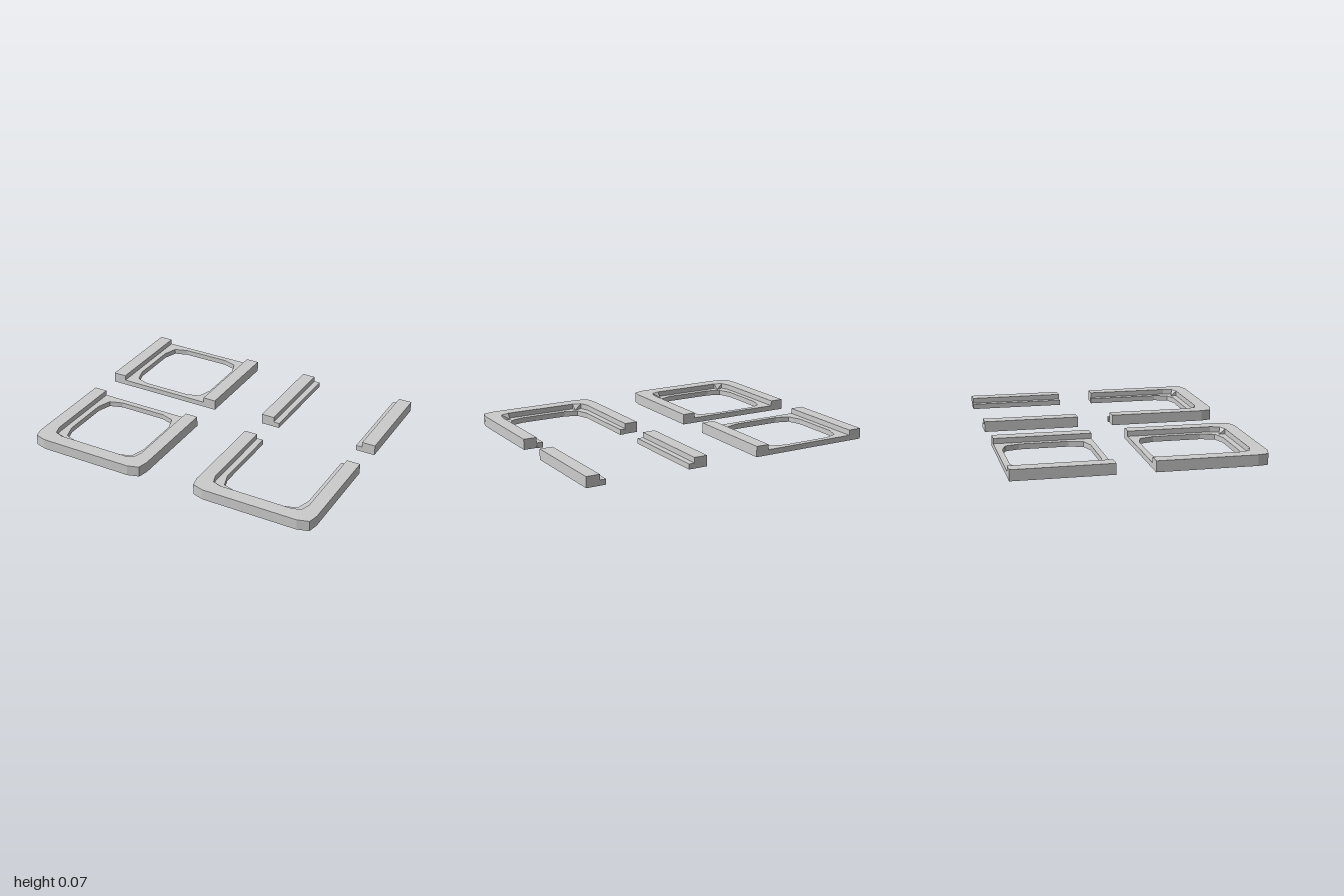
import * as THREE from 'three';
import { ConvexGeometry } from 'three/addons/geometries/ConvexGeometry.js';

const HEIGHT = 0.07, LIP = 0.035;      // full height and height of the inner ledge
const OUTER = 0.409, WALL = 0.32, HOLE = 0.28; // half widths: outside, raised wall, opening
const CENTRE = 0.591;
const material = new THREE.MeshStandardMaterial({ color: 0xcccccc, flatShading: true });

// Plan points [x, z] as 2D vectors, wound clockwise or counter-clockwise on request.
function outline(points, clockwise) {
  const list = points.map(([x, z]) => new THREE.Vector2(x, -z));
  return THREE.ShapeUtils.isClockWise(list) === clockwise ? list : list.reverse();
}

// Flat slab from plan points, between heights y0 and y1.
function slab(name, points, y0, y1, hole) {
  const shape = new THREE.Shape(outline(points, false));
  if (hole) shape.holes.push(new THREE.Path(outline(hole, true)));
  const geometry = new THREE.ExtrudeGeometry(shape, { depth: y1 - y0, bevelEnabled: false });
  geometry.rotateX(-Math.PI / 2);
  geometry.translate(0, y0, 0);
  const mesh = new THREE.Mesh(geometry, material);
  mesh.name = name;
  return mesh;
}

const rect = (x0, x1, z0, z1) => [[x0, z0], [x1, z0], [x1, z1], [x0, z1]];

// Complete a half outline (x > 0) by mirroring it across x = 0.
const mirrored = (half) => [...half, ...half.map(([x, z]) => [-x, z]).reverse()];

// Opening with two-step rounded corners.
const opening = (z0, z1) => mirrored([
  [0.162, z0], [0.25, z0 + 0.028], [HOLE, z0 + 0.12],
  [HOLE, z1 - 0.12], [0.25, z1 - 0.028], [0.162, z1],
]);

// Two stepped side rails, without cross bars.
function rails(z0, z1) {
  const group = new THREE.Group();
  group.name = 'railPair';
  for (const s of [-1, 1]) {
    group.add(slab('railBase', rect(s * HOLE, s * OUTER, z0, z1), 0, LIP));
    group.add(slab('railTop', rect(s * WALL, s * OUTER, z0, z1), LIP, HEIGHT));
  }
  return group;
}

// Ring-shaped base with a raised rail on either side.
function middleFrame(z0, z1) {
  const group = new THREE.Group();
  group.name = 'middleFrame';
  group.add(slab('frameBase', rect(-OUTER, OUTER, z0, z1), 0, LIP, opening(z0 + 0.038, z1 - 0.038)));
  for (const s of [-1, 1]) {
    group.add(slab('railTop', rect(s * WALL, s * OUTER, z0, z1), LIP, HEIGHT));
  }
  return group;
}

// Sloping corner wedge, from the top of the raised wall down to the ledge.
function cornerGusset(s) {
  const geometry = new ConvexGeometry([
    [0.3, LIP, 0.69], [0.3, HEIGHT, 0.69], [0.245, LIP, 0.71], [0.245, HEIGHT, 0.71], [0.245, LIP, 0.67],
  ].map(([x, y, z]) => new THREE.Vector3(s * x, y, z)));
  const mesh = new THREE.Mesh(geometry, material);
  mesh.name = 'cornerGusset';
  return mesh;
}

// End piece with chamfered front corners; its base is closed or open at the back.
function endFrame(closed) {
  const z0 = 0.075, z1 = 0.8, ledgeEnd = 0.068;
  const group = new THREE.Group();
  group.name = closed ? 'closedEndFrame' : 'openEndFrame';
  const outer = [[OUTER, z0], [OUTER, 0.71], [0.394, 0.777], [0.32, z1]];
  const ledge = [[0.162, 0.67], [0.25, 0.642], [HOLE, 0.55], [HOLE, ledgeEnd], [WALL, ledgeEnd], [WALL, z0]];
  const wall = [[0.245, 0.71], [0.3, 0.69], [WALL, 0.63], [WALL, z0]];
  group.add(closed
    ? slab('endBase', mirrored(outer), 0, LIP, opening(0.113, 0.67))
    : slab('endBase', mirrored([...ledge, ...outer]), 0, LIP));
  group.add(slab('endWall', mirrored([...wall, ...outer]), LIP, HEIGHT));
  for (const s of [-1, 1]) group.add(cornerGusset(s));
  return group;
}

export function createModel() {
  const model = new THREE.Group();
  model.name = 'frameSet';
  const place = (part, x) => { part.position.x = x; model.add(part); };
  place(middleFrame(-0.8, -0.165), -CENTRE);
  place(endFrame(true), -CENTRE);
  place(rails(-0.8, -0.165), CENTRE);
  place(endFrame(false), CENTRE);
  return model;
}
